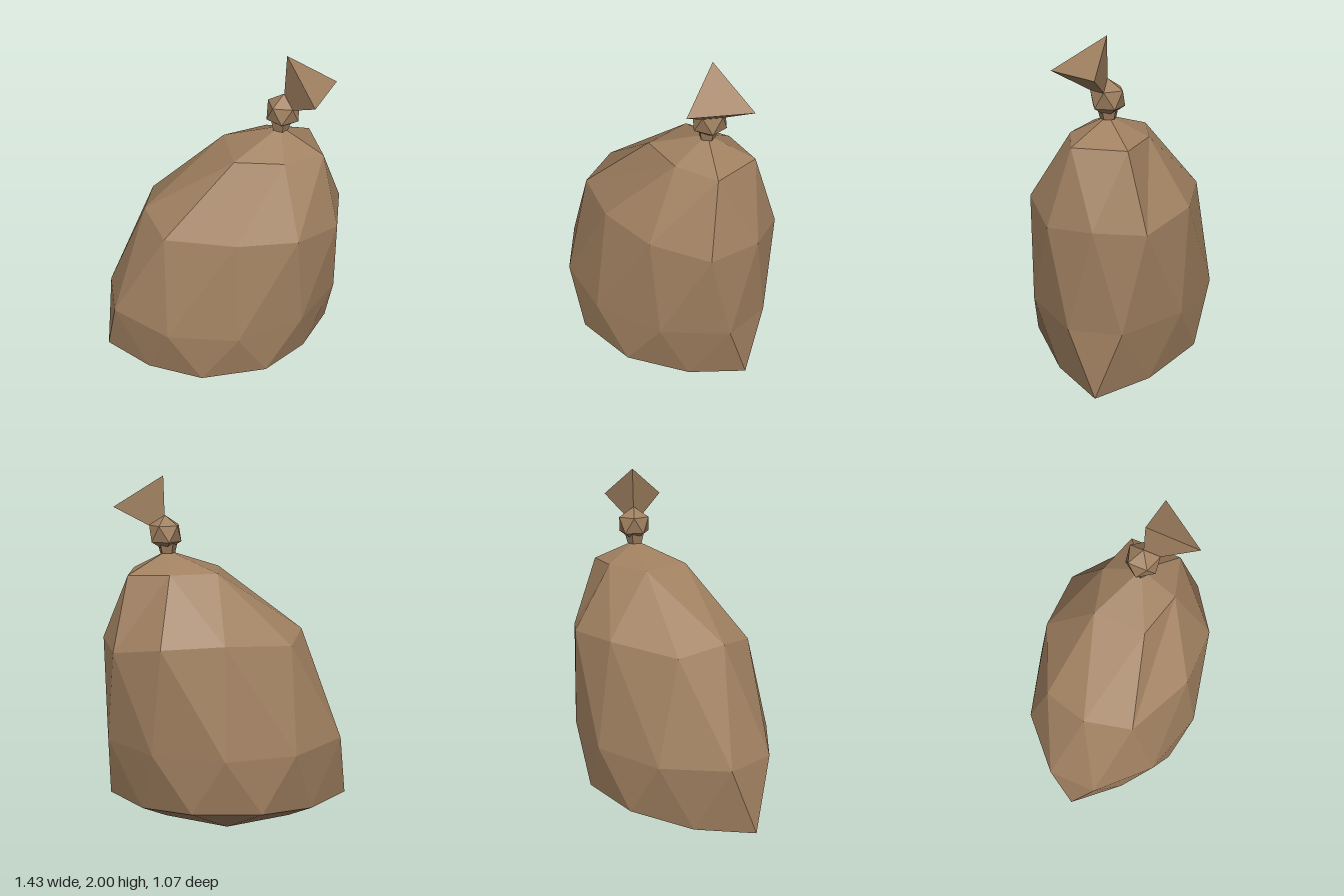
import * as THREE from 'three';
import { ConvexGeometry } from 'three/addons/geometries/ConvexGeometry.js';

const cloth = new THREE.MeshStandardMaterial({ color: 0xa08060, flatShading: true });

// Half rings (z >= 0, from +x round to -x), bottom to top; the other half is mirrored
const HALF_RINGS = [
  [[0.365, 0.025, 0.145], [0, 0.015, 0.27], [-0.365, 0.025, 0.145]],
  [[0.71, 0.11, 0], [0.49, 0.13, 0.26], [0.195, 0.195, 0.475], [-0.195, 0.195, 0.475], [-0.49, 0.13, 0.26], [-0.72, 0.11, 0]],
  [[0.69, 0.51, 0.145], [0.41, 0.52, 0.42], [0.01, 0.53, 0.535], [-0.38, 0.52, 0.42], [-0.66, 0.52, 0.145]],
  [[0.715, 1.09, 0], [0.625, 1.06, 0.26], [0.35, 1.12, 0.435], [0.01, 1.14, 0.435], [-0.355, 1.1, 0.26], [-0.43, 1.14, 0]],
  [[0.545, 1.47, 0.145], [0.31, 1.48, 0.21], [0.05, 1.48, 0.145]],
];
const BOTTOM = [0, 0.005, 0];
const TOP = [0.335, 1.59, 0];

function fullRing(half) {
  const mirrored = half.filter((p) => p[2] > 0).reverse().map(([x, y, z]) => [x, y, -z]);
  const points = [...half, ...mirrored];
  const offset = half[0][2] > 0 ? 0.5 : 0;
  return {
    n: points.length,
    offset,
    at: (k) => points[(k + points.length) % points.length],
    turn: (k) => (k + offset) / points.length,
  };
}

// Join two rings of unequal counts, always stepping along the one that lags
function zip(lower, upper, out) {
  let a = 0;
  let b = lower.offset < upper.offset ? -1 : 0;
  for (let i = 0; i < lower.n + upper.n; i++) {
    if (upper.turn(b + 1) < lower.turn(a + 1)) {
      out.push(lower.at(a), upper.at(b), upper.at(b + 1));
      b++;
    } else {
      out.push(lower.at(a), upper.at(b), lower.at(a + 1));
      a++;
    }
  }
}

function sackGeometry() {
  const rings = HALF_RINGS.map(fullRing);
  const first = rings[0];
  const last = rings[rings.length - 1];
  const tris = [];
  for (let k = 0; k < first.n; k++) tris.push(BOTTOM, first.at(k), first.at(k + 1));
  for (let r = 0; r + 1 < rings.length; r++) zip(rings[r], rings[r + 1], tris);
  for (let k = 0; k < last.n; k++) tris.push(last.at(k), TOP, last.at(k + 1));
  const geometry = new THREE.BufferGeometry();
  geometry.setAttribute('position', new THREE.Float32BufferAttribute(tris.flat(), 3));
  geometry.computeVertexNormals();
  return geometry;
}

// Icosahedron standing on a point: two staggered five-sided rings and two poles
function knotGeometry(r) {
  const points = [new THREE.Vector3(0, r, 0), new THREE.Vector3(0, -r, 0)];
  for (let k = 0; k < 5; k++) {
    const t = (k / 5) * Math.PI * 2;
    const x = Math.cos(t) * r * 0.894;
    const z = Math.sin(t) * r * 0.894;
    points.push(new THREE.Vector3(x, r * 0.447, z), new THREE.Vector3(-x, -r * 0.447, z));
  }
  return new ConvexGeometry(points);
}

export function createModel() {
  const group = new THREE.Group();
  group.name = 'tiedSack';
  const add = (name, geometry, x = 0, y = 0, z = 0) => {
    const mesh = new THREE.Mesh(geometry, cloth);
    mesh.name = name;
    mesh.position.set(x, y, z);
    group.add(mesh);
  };

  // Bulging body leaning to one side
  add('sackBody', sackGeometry());

  // Gathered neck and the knot above it
  add('neck', new THREE.CylinderGeometry(0.06, 0.045, 0.06, 5), 0.335, 1.605, 0);
  add('knot', knotGeometry(0.1), 0.345, 1.685, 0);

  // Loose end of cloth fanning out of the knot
  add('looseEnd', new ConvexGeometry([
    new THREE.Vector3(0.35, 2, 0),
    new THREE.Vector3(0.63, 1.83, 0),
    new THREE.Vector3(0.435, 1.83, 0.27),
    new THREE.Vector3(0.345, 1.68, 0),
  ]));
  return group;
}
